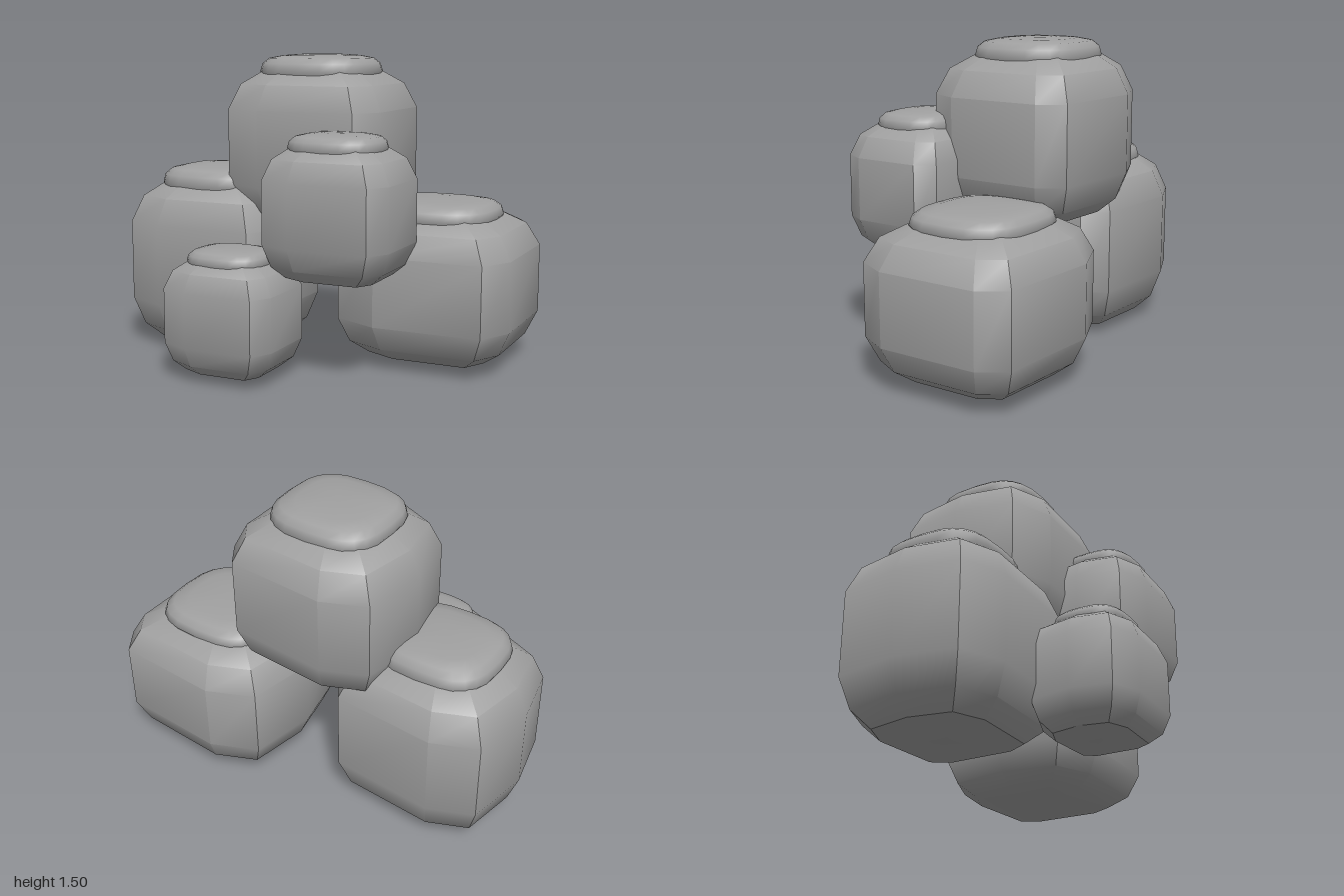
import * as THREE from 'three';
import { toCreasedNormals } from 'three/addons/utils/BufferGeometryUtils.js';

// Unit outline of a boulder in plan (x, z), ordered from +x towards +z
const OUTLINE = [
  [1, 0.56], [0.81, 0.95], [-0.36, 1], [-0.86, 0.77], [-1, 0.03],
  [-0.86, -0.77], [-0.36, -1], [0.81, -0.92], [1, -0.62],
];
// [scale, height] rings from the low point of the underside to the shoulder
const BODY = [
  [0, 0], [0.68, 0.03], [0.88, 0.11], [1, 0.26], [1, 0.69],
  [0.865, 0.83], [0.62, 0.905], [0, 0.92],
];
// Soft cushion on top
const CAP = [
  [0.64, 0.86], [0.68, 0.9], [0.655, 0.945], [0.58, 0.975], [0.43, 0.99], [0.2, 0.998], [0, 1],
];

// Rounded square outline for the cap
function capOutline(n) {
  const soft = (t) => Math.sign(t) * Math.pow(Math.abs(t), 0.68);
  return Array.from({ length: n }, (_, i) => {
    const a = (i / n) * Math.PI * 2;
    return [soft(Math.cos(a)), soft(Math.sin(a))];
  });
}

// Skin an outline through scaled rings; rings of scale 0 close to a point
function loft(outline, rings, w, h, d, crease) {
  const pos = [];
  const n = outline.length;
  const point = (r, i) => {
    const [s, y] = rings[r];
    const [u, v] = outline[i % n];
    return [u * s * w, y * h, v * s * d];
  };
  for (let r = 0; r < rings.length - 1; r++) {
    for (let i = 0; i < n; i++) {
      const a = point(r, i), b = point(r + 1, i);
      const c = point(r, i + 1), e = point(r + 1, i + 1);
      if (rings[r][0] > 0) pos.push(...a, ...b, ...c);
      if (rings[r + 1][0] > 0) pos.push(...c, ...b, ...e);
    }
  }
  const geo = new THREE.BufferGeometry();
  geo.setAttribute('position', new THREE.Float32BufferAttribute(pos, 3));
  return toCreasedNormals(geo, crease);
}

export function createModel() {
  const stone = new THREE.MeshStandardMaterial({ color: 0xa0a0a0 });
  stone.name = 'grey stone';
  const model = new THREE.Group();
  model.name = 'boulderPile';

  // name, centre x, base y, centre z, half width, height, half depth
  const boulders = [
    ['topBoulder', -0.04, 0.64, -0.18, 0.42, 0.865, 0.39],
    ['leftBaseBoulder', 0.55, 0.02, -0.28, 0.45, 0.79, 0.42],
    ['rightBaseBoulder', -0.57, 0, -0.105, 0.43, 0.94, 0.395],
    ['frontUpperBoulder', 0.265, 0.47, 0.27, 0.325, 0.69, 0.28],
    ['frontSmallBoulder', -0.2, 0.02, 0.445, 0.29, 0.6, 0.255],
  ];
  const capShape = capOutline(24);

  for (const [name, x, y, z, w, h, d] of boulders) {
    const boulder = new THREE.Group();
    boulder.name = name;
    boulder.position.set(x, y, z);

    const body = new THREE.Mesh(loft(OUTLINE, BODY, w, h, d, 0.6), stone);
    body.name = 'body';

    const cap = new THREE.Mesh(loft(capShape, CAP, w, h, d, 1.4), stone);
    cap.name = 'cap';
    cap.position.set(0.02 * w, 0, 0.02 * d);

    boulder.add(body, cap);
    model.add(boulder);
  }
  return model;
}
